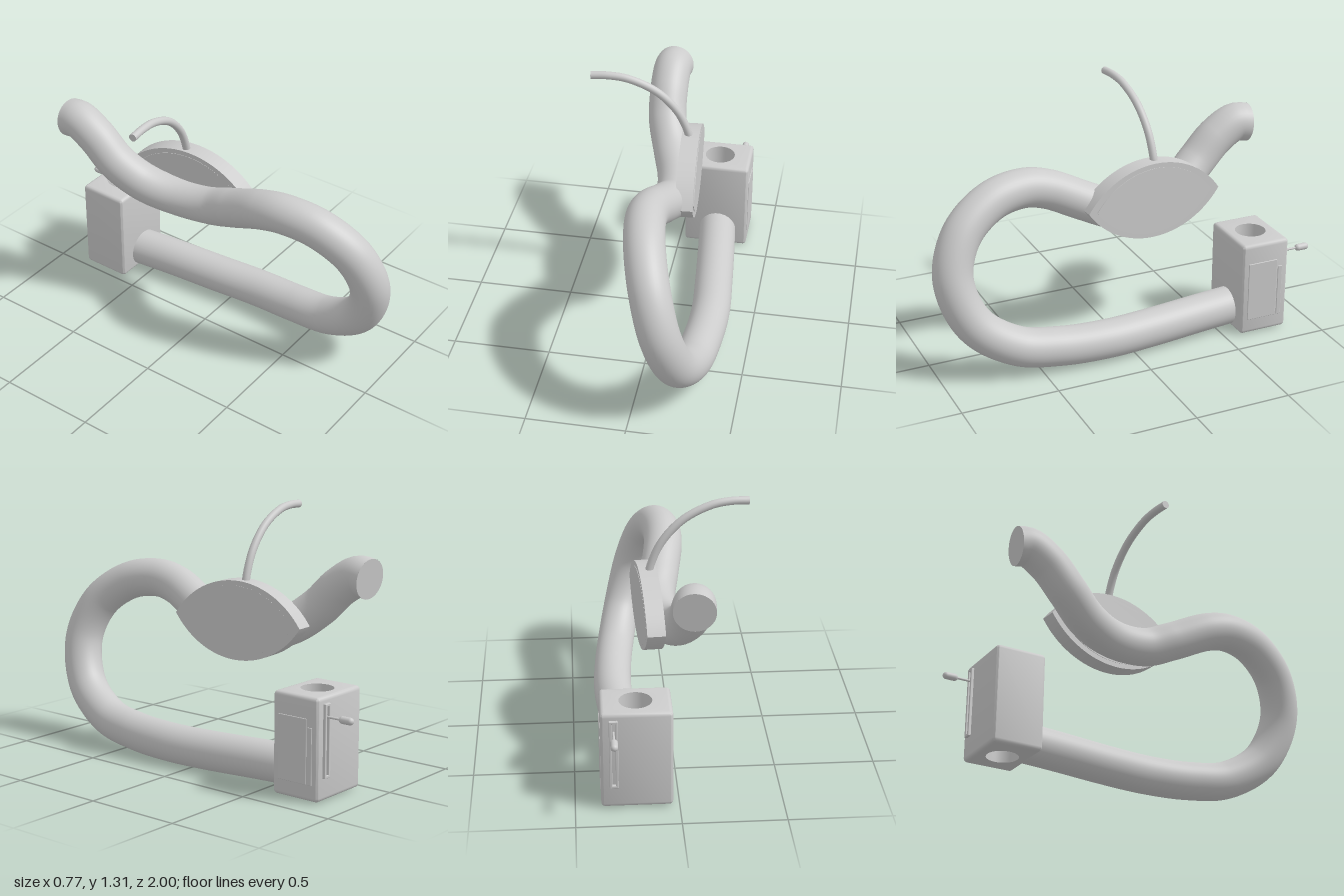
import * as THREE from 'three';
import { RoundedBoxGeometry } from 'three/addons/geometries/RoundedBoxGeometry.js';
import { toCreasedNormals } from 'three/addons/utils/BufferGeometryUtils.js';

const mat = new THREE.MeshStandardMaterial({ color: 0xcccccc, side: THREE.DoubleSide });

function part(parent, name, geometry, x = 0, y = 0, z = 0) {
  const mesh = new THREE.Mesh(geometry, mat);
  mesh.name = name;
  mesh.position.set(x, y, z);
  parent.add(mesh);
  return mesh;
}

// Round tube through points, closed with a disc at both ends
function cappedTube(parent, name, points, radius, segments, sides) {
  const group = new THREE.Group();
  group.name = name;
  parent.add(group);
  const curve = new THREE.CatmullRomCurve3(points.map(p => new THREE.Vector3(...p)));
  part(group, name + 'Wall', new THREE.TubeGeometry(curve, segments, radius, sides));
  for (const [t, sign] of [[0, -1], [1, 1]]) {
    const p = curve.getPoint(t);
    const cap = part(group, name + 'Cap', new THREE.CircleGeometry(radius, sides), p.x, p.y, p.z);
    cap.lookAt(p.clone().addScaledVector(curve.getTangent(t), sign));
  }
}

// Pointed lens plate made of two arcs, thickness along x
function lensGeometry(length, height, thickness) {
  const a = length / 2, s = height / 2;
  const r = (a * a + s * s) / (2 * s), half = Math.asin(a / r);
  const shape = new THREE.Shape();
  shape.absarc(0, s - r, r, Math.PI / 2 - half, Math.PI / 2 + half, false);
  shape.absarc(0, r - s, r, 1.5 * Math.PI - half, 1.5 * Math.PI + half, false);
  const geo = new THREE.ExtrudeGeometry(shape, { depth: thickness, bevelEnabled: false, curveSegments: 32 });
  geo.translate(0, 0, -thickness / 2).rotateY(Math.PI / 2);
  return toCreasedNormals(geo, 0.5);
}

// Rounded block with a straight round bore through its height
function boredBlock(w, h, d, bore, bevel) {
  const x = w / 2, y = d / 2, c = bevel;
  const shape = new THREE.Shape();
  shape.absarc(x - c, y - c, c, 0, Math.PI / 2);
  shape.absarc(c - x, y - c, c, Math.PI / 2, Math.PI);
  shape.absarc(c - x, c - y, c, Math.PI, 1.5 * Math.PI);
  shape.absarc(x - c, c - y, c, 1.5 * Math.PI, 2 * Math.PI);
  const hole = new THREE.Path();
  hole.absarc(0, 0, bore, 0, Math.PI * 2, true);
  shape.holes.push(hole);
  const geo = new THREE.ExtrudeGeometry(shape, {
    depth: h - 2 * bevel, bevelSize: bevel * 0.95, bevelThickness: bevel,
    bevelOffset: -bevel * 0.95, bevelSegments: 4, curveSegments: 24,
  });
  // Pull the bevelled rim of the bore back to a sharp cylinder
  const pos = geo.attributes.position;
  for (let i = 0; i < pos.count; i++) {
    const px = pos.getX(i), py = pos.getY(i), r = Math.hypot(px, py);
    if (r < bore + bevel * 1.2) pos.setXY(i, px * bore / r, py * bore / r);
  }
  geo.translate(0, 0, bevel - h / 2).rotateX(-Math.PI / 2);
  return toCreasedNormals(geo, 0.6);
}

export function createModel() {
  const model = new THREE.Group();
  model.name = 'hoseAssembly';

  // Thick hose: out of the block, round the front loop, behind the plate, up to the open end
  cappedTube(model, 'hose', [
    [0.21, 0.11, -0.62], [0.235, 0.11, -0.4], [0.265, 0.105, -0.1], [0.285, 0.107, 0.15],
    [0.278, 0.12, 0.4], [0.255, 0.16, 0.62], [0.21, 0.3, 0.82], [0.15, 0.53, 0.9],
    [0.09, 0.73, 0.83], [0.035, 0.855, 0.66], [0.005, 0.885, 0.48], [0.005, 0.86, 0.35],
    [0.04, 0.77, 0.15], [0.065, 0.71, 0], [0.045, 0.695, -0.2], [-0.01, 0.74, -0.38],
    [-0.06, 0.84, -0.52], [-0.072, 0.955, -0.64], [-0.072, 1.017, -0.75], [-0.067, 1.01, -0.815],
  ], 0.1, 200, 40);

  // Thin curved pipe rising from the plate
  cappedTube(model, 'thinPipe', [
    [0.115, 0.9, -0.197], [0.1, 0.98, -0.194], [0.045, 1.1, -0.188], [-0.06, 1.21, -0.177],
    [-0.2, 1.277, -0.163], [-0.3, 1.292, -0.153], [-0.385, 1.29, -0.145],
  ], 0.02, 48, 16);

  // Lens-shaped plate with a slightly proud inner panel
  const plate = new THREE.Group();
  plate.name = 'lensPlate';
  plate.position.set(0.117, 0.763, -0.175);
  plate.rotation.y = 0.07;
  model.add(plate);
  part(plate, 'plateBody', lensGeometry(0.75, 0.4, 0.09));
  part(plate, 'platePanel', lensGeometry(0.66, 0.35, 0.094)).rotation.y = 0.006;

  // Block with vertical bore and a float inside
  const block = new THREE.Group();
  block.name = 'block';
  block.position.set(0.203, 0.2625, -0.7125);
  model.add(block);
  part(block, 'blockBody', boredBlock(0.345, 0.505, 0.265, 0.08, 0.02));
  part(block, 'float', new THREE.SphereGeometry(0.07, 24, 16), 0.045, -0.06, 0).scale.x = 0.8;

  // Raised panels on the side
  part(block, 'sidePanel', new RoundedBoxGeometry(0.012, 0.32, 0.165, 2, 0.003), 0.17, -0.013, 0.015);
  part(block, 'sideStrip', new RoundedBoxGeometry(0.012, 0.28, 0.025, 2, 0.003), 0.17, -0.033, -0.086);

  // Slotted guide on the back
  for (const side of [-1, 1])
    part(block, 'guideRail', new RoundedBoxGeometry(0.013, 0.36, 0.022, 2, 0.003), 0.11 + side * 0.015, 0.04, -0.136);
  for (const side of [-1, 1])
    part(block, 'guideEnd', new RoundedBoxGeometry(0.04, 0.013, 0.022, 2, 0.003), 0.11, 0.04 + side * 0.173, -0.136);

  // Lever with an elongated knob
  const rod = new THREE.CylinderGeometry(0.006, 0.006, 0.12, 12).rotateX(Math.PI / 2);
  part(block, 'leverRod', rod, 0.11, 0.156, -0.175);
  const knob = new THREE.CapsuleGeometry(0.018, 0.042, 8, 20).rotateX(Math.PI / 2);
  part(block, 'leverKnob', knob, 0.11, 0.156, -0.2485);

  return model;
}
